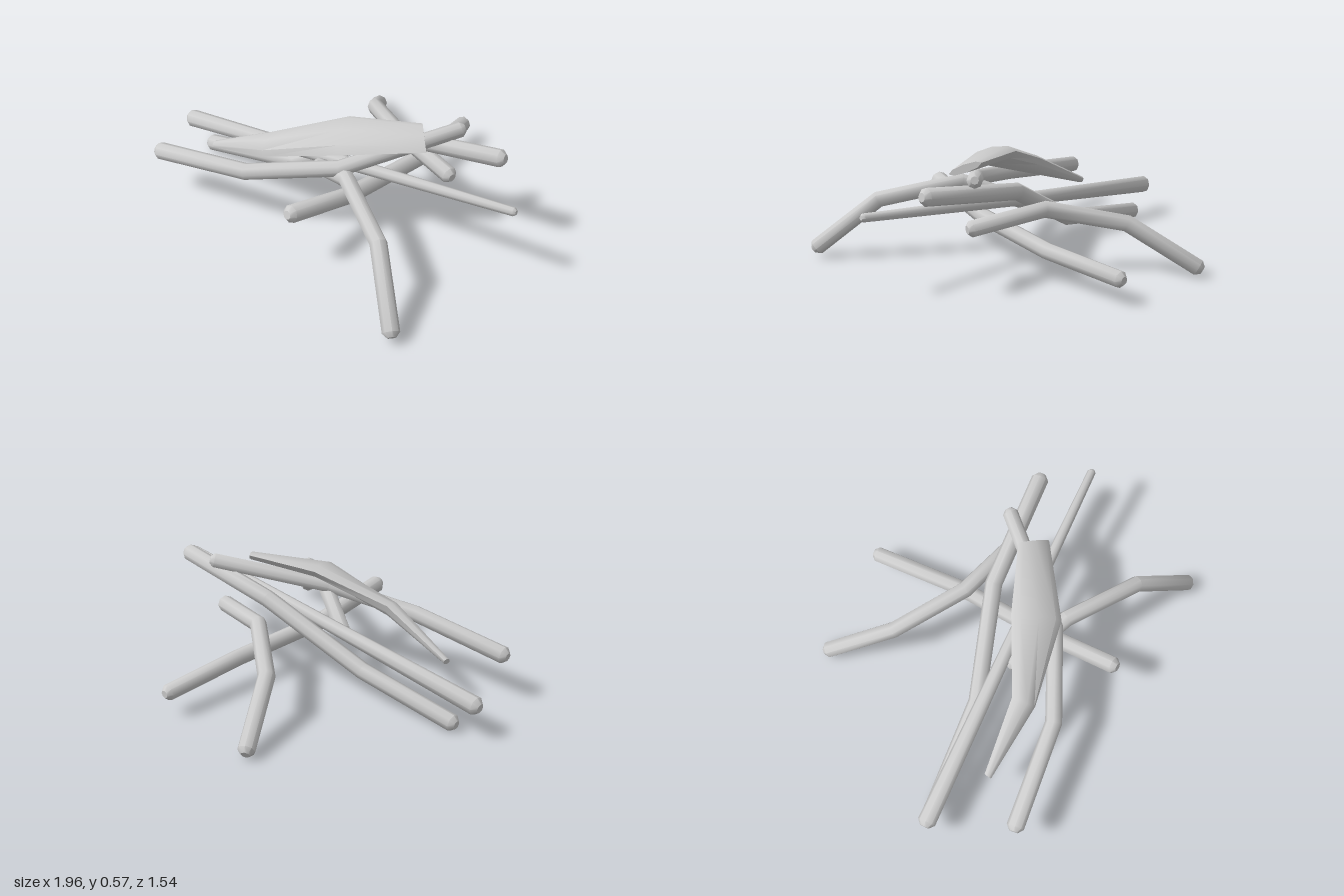
import * as THREE from 'three';
import { toCreasedNormals } from 'three/addons/utils/BufferGeometryUtils.js';

const V = (p) => new THREE.Vector3(...p);
const SIDES = 8;

// Skin a list of equal-sized vertex rings and close both ends with a fan
function loft(rings) {
  const n = rings[0].length, pos = [], idx = [];
  rings.forEach((r) => r.forEach((v) => pos.push(v.x, v.y, v.z)));
  for (let i = 0; i < rings.length - 1; i++) {
    for (let j = 0; j < n; j++) {
      const a = i * n + j, b = i * n + (j + 1) % n;
      idx.push(a, b, a + n, b, b + n, a + n);
    }
  }
  const last = (rings.length - 1) * n;
  for (let j = 1; j < n - 1; j++) {
    idx.push(0, j + 1, j);
    idx.push(last, last + j, last + j + 1);
  }
  const g = new THREE.BufferGeometry();
  g.setAttribute('position', new THREE.Float32BufferAttribute(pos, 3));
  g.setIndex(idx);
  return toCreasedNormals(g, 0.85);
}

// Ring around a centre, spanned by two half-axes
function ring(c, u, v) {
  return Array.from({ length: SIDES }, (_, j) => {
    const t = (j / SIDES) * Math.PI * 2;
    return c.clone().addScaledVector(u, Math.cos(t)).addScaledVector(v, Math.sin(t));
  });
}

// Bent stick through the points, tapering from r0 to r1, with bevelled tips
function stick(points, r0, r1) {
  const p = points.map(V), n = p.length - 1, rings = [];
  const add = (c, d, r) => {
    const u = new THREE.Vector3(0, 1, 0).cross(d).normalize();
    const v = d.clone().cross(u).normalize();
    rings.push(ring(c, u.multiplyScalar(r), v.multiplyScalar(r)));
  };
  for (let i = 0; i <= n; i++) {
    const before = p[i].clone().sub(p[Math.max(i - 1, 0)]).normalize();
    const after = p[Math.min(i + 1, n)].clone().sub(p[i]).normalize();
    const d = before.add(after).normalize();
    const r = r0 + (r1 - r0) * i / n;
    if (i === 0) add(p[i].clone().addScaledVector(d, -r * 0.55), d, r * 0.5);
    add(p[i], d, r);
    if (i === n) add(p[i].clone().addScaledVector(d, r * 0.55), d, r * 0.5);
  }
  return loft(rings);
}

// Flat bark piece: each section is [back edge, front edge, half thickness]
function bark(sections) {
  const mids = sections.map(([b, f]) => V(b).add(V(f)).multiplyScalar(0.5));
  const rings = sections.map(([b, f, t], i) => {
    const d = mids[Math.min(i + 1, mids.length - 1)].clone().sub(mids[Math.max(i - 1, 0)]);
    const u = V(b).sub(V(f)).multiplyScalar(0.5);
    const v = d.cross(u).normalize().multiplyScalar(t);
    return ring(mids[i], u, v);
  });
  return loft(rings);
}

export function createModel() {
  const group = new THREE.Group();
  group.name = 'branchPile';
  const mat = new THREE.MeshStandardMaterial({ color: 0xcccccc });
  const add = (name, geo) => {
    const m = new THREE.Mesh(geo, mat);
    m.name = name;
    group.add(m);
  };

  // Sticks: name, path, start radius, end radius
  const sticks = [
    ['backBranch', [[-0.39, 0.05, -0.74], [-0.2, 0.245, -0.45], [0.12, 0.33, -0.22], [0.49, 0.29, -0.12]], 0.042, 0.042],
    ['crossBranch', [[0.16, 0.13, -0.75], [0.18, 0.155, -0.3], [0.14, 0.2, 0.2], [0.11, 0.31, 0.6]], 0.04, 0.043],
    ['longTaperedStick', [[-0.96, 0.172, 0.14], [0, 0.285, 0.1], [0.96, 0.4, 0.065]], 0.045, 0.021],
    ['lowBranch', [[-0.85, 0.05, 0.115], [-0.31, 0.135, 0.07], [0.19, 0.405, -0.095], [0.76, 0.497, -0.13]], 0.042, 0.043],
    ['frontBranch', [[0.78, 0.06, 0.73], [0.55, 0.305, 0.52], [0.2, 0.375, 0.3], [-0.09, 0.245, 0.15]], 0.041, 0.041],
    ['topBranch', [[-0.8, 0.24, 0.53], [-0.28, 0.305, 0.47], [0.13, 0.39, 0.27], [0.51, 0.535, -0.17]], 0.043, 0.038],
  ];
  sticks.forEach(([name, path, r0, r1]) => add(name, stick(path, r0, r1)));

  // Broad curved bark strip lying on top
  add('barkStrip', bark([
    [[-0.64, 0.235, 0.285], [-0.64, 0.215, 0.32], 0.016],
    [[-0.29, 0.415, 0.25], [-0.26, 0.34, 0.36], 0.038],
    [[0.04, 0.545, 0.075], [0.14, 0.48, 0.295], 0.042],
    [[0.37, 0.57, -0.055], [0.475, 0.51, 0.06], 0.02],
  ]));
  return group;
}
